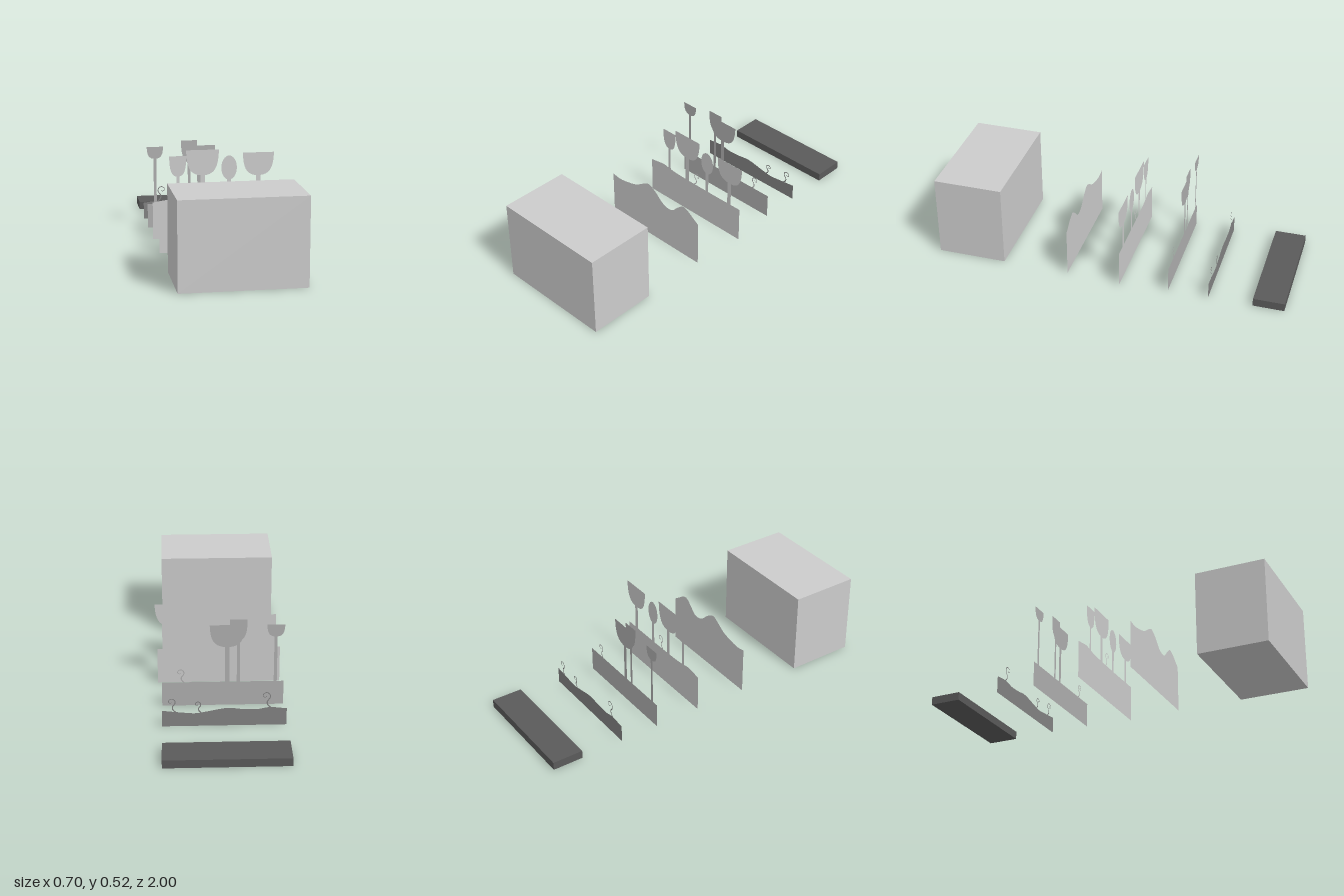
import * as THREE from 'three';

// Each flat layer: z depth, shade, skyline points [x, y], goblets, disc and curls
const LAYERS = [
  {
    name: 'hillLayer', z: 0.232, color: 0xcccccc,
    top: [[-0.35, 0.274], [-0.29, 0.266], [-0.22, 0.277], [-0.16, 0.295], [-0.1, 0.333], [-0.06, 0.348],
      [-0.01, 0.322], [0.04, 0.277], [0.08, 0.26], [0.12, 0.265], [0.16, 0.303], [0.2, 0.333], [0.24, 0.322], [0.28, 0.294], [0.315, 0.27]],
  },
  {
    name: 'middleLayer', z: -0.077, color: 0xcccccc,
    top: [[-0.35, 0.214], [-0.3, 0.222], [-0.25, 0.228], [-0.2, 0.22], [-0.12, 0.213], [0.1, 0.21], [0.34, 0.212]],
    // goblets: [centre x, half width, rim y, bowl bottom y, stem width]
    goblets: [[0.26, 0.09, 0.487, 0.354, 0.026], [-0.063, 0.094, 0.51, 0.363, 0.026], [-0.205, 0.049, 0.478, 0.36, 0.017]],
    discs: [[0.09, 0.403, 0.045, 0.07]],
    curls: [[0.0, 0.21, 0.08]],
  },
  {
    name: 'rearLayer', z: -0.35, color: 0xaeaeae,
    top: [[-0.35, 0.143], [0, 0.143], [0.315, 0.143]],
    goblets: [[-0.304, 0.048, 0.484, 0.413, 0.017], [-0.102, 0.048, 0.517, 0.395, 0.017], [-0.042, 0.095, 0.485, 0.354, 0.024]],
    curls: [[0.2, 0.14, 0.08]],
  },
  {
    name: 'waveLayer', z: -0.577, color: 0x828282,
    top: [[-0.35, 0.098], [-0.26, 0.107], [-0.19, 0.096], [-0.11, 0.099], [-0.03, 0.106], [0.08, 0.086],
      [0.14, 0.077], [0.22, 0.084], [0.315, 0.095]],
    curls: [[0.25, 0.085, 0.08], [0.113, 0.08, 0.065], [-0.255, 0.105, 0.09]],
  },
];

function flat(shape, name, material) {
  const mesh = new THREE.Mesh(new THREE.ShapeGeometry(shape, 16), material);
  mesh.name = name;
  return mesh;
}

// Panel standing on the ground with a smooth skyline
function panel(top) {
  const line = new THREE.SplineCurve(top.map(p => new THREE.Vector2(...p))).getPoints(80);
  return new THREE.Shape([
    new THREE.Vector2(top[0][0], 0), new THREE.Vector2(top[top.length - 1][0], 0), ...line.reverse(),
  ]);
}

// Cup outline: flat rim, nearly upright sides, round bottom
function bowl(x, r, rim, bottom) {
  const h = rim - bottom, s = new THREE.Shape();
  s.moveTo(x - r, rim);
  s.bezierCurveTo(x - r * 0.98, rim - h * 0.72, x - r * 0.72, bottom, x, bottom);
  s.bezierCurveTo(x + r * 0.72, bottom, x + r * 0.98, rim - h * 0.72, x + r, rim);
  return s;
}

function stem(x, width, low, high) {
  const w = width / 2;
  return new THREE.Shape([[-w, low], [w, low], [w, high], [-w, high]].map(([dx, y]) => new THREE.Vector2(x + dx, y)));
}

// Tapering ribbon that follows a shepherd's-hook spiral
function curl(x, y, h) {
  const pts = [[-0.1, 0], [0.08, 0.2], [0.1, 0.42], [-0.06, 0.66], [-0.04, 0.88], [0.14, 1],
    [0.32, 0.92], [0.35, 0.76], [0.23, 0.68], [0.15, 0.77]];
  const path = new THREE.SplineCurve(pts.map(([a, b]) => new THREE.Vector2(x + a * h, y + b * h)));
  const left = [], right = [], n = 40;
  for (let i = 0; i <= n; i++) {
    const p = path.getPoint(i / n), t = path.getTangent(i / n), w = 0.0035 - 0.002 * i / n;
    left.push(new THREE.Vector2(p.x - t.y * w, p.y + t.x * w));
    right.push(new THREE.Vector2(p.x + t.y * w, p.y - t.x * w));
  }
  return new THREE.Shape([...right, ...left.reverse()]);
}

// Height of a layer's skyline at x
function skyline(top, x) {
  const i = Math.max(1, top.findIndex(p => p[0] >= x));
  const [a, b] = [top[i - 1], top[i]];
  return THREE.MathUtils.mapLinear(x, a[0], b[0], a[1], b[1]);
}

function block(name, height, z0, z1, color) {
  const mesh = new THREE.Mesh(new THREE.BoxGeometry(0.665, height, z1 - z0), new THREE.MeshStandardMaterial({ color }));
  mesh.position.set(-0.0175, height / 2, (z0 + z1) / 2);
  mesh.name = name;
  return mesh;
}

export function createModel() {
  const model = new THREE.Group();
  model.name = 'layeredScene';

  // Solid blocks at the front and back ends
  model.add(block('frontBlock', 0.472, 0.61, 1, 0xcccccc));
  model.add(block('backSlab', 0.046, -1, -0.825, 0x5a5a5a));

  // Thin cut-out layers between them
  for (const { name, z, color, top, goblets = [], discs = [], curls = [] } of LAYERS) {
    const material = new THREE.MeshStandardMaterial({ color, side: THREE.DoubleSide });
    const layer = new THREE.Group();
    layer.name = name;
    layer.position.z = z;
    layer.add(flat(panel(top), 'panel', material));
    for (const [x, r, rim, bottom, width] of goblets) {
      layer.add(flat(bowl(x, r, rim, bottom), 'gobletBowl', material));
      layer.add(flat(stem(x, width, skyline(top, x) - 0.002, bottom + 0.002), 'gobletStem', material));
    }
    for (const [x, y, rx, ry] of discs) {
      const oval = new THREE.Shape();
      oval.absellipse(x, y, rx, ry, 0, Math.PI * 2);
      layer.add(flat(oval, 'ovalTop', material));
      layer.add(flat(stem(x, 0.022, skyline(top, x) - 0.002, y - ry + 0.004), 'ovalStem', material));
    }
    for (const c of curls) layer.add(flat(curl(...c), 'curl', material));
    model.add(layer);
  }
  return model;
}
